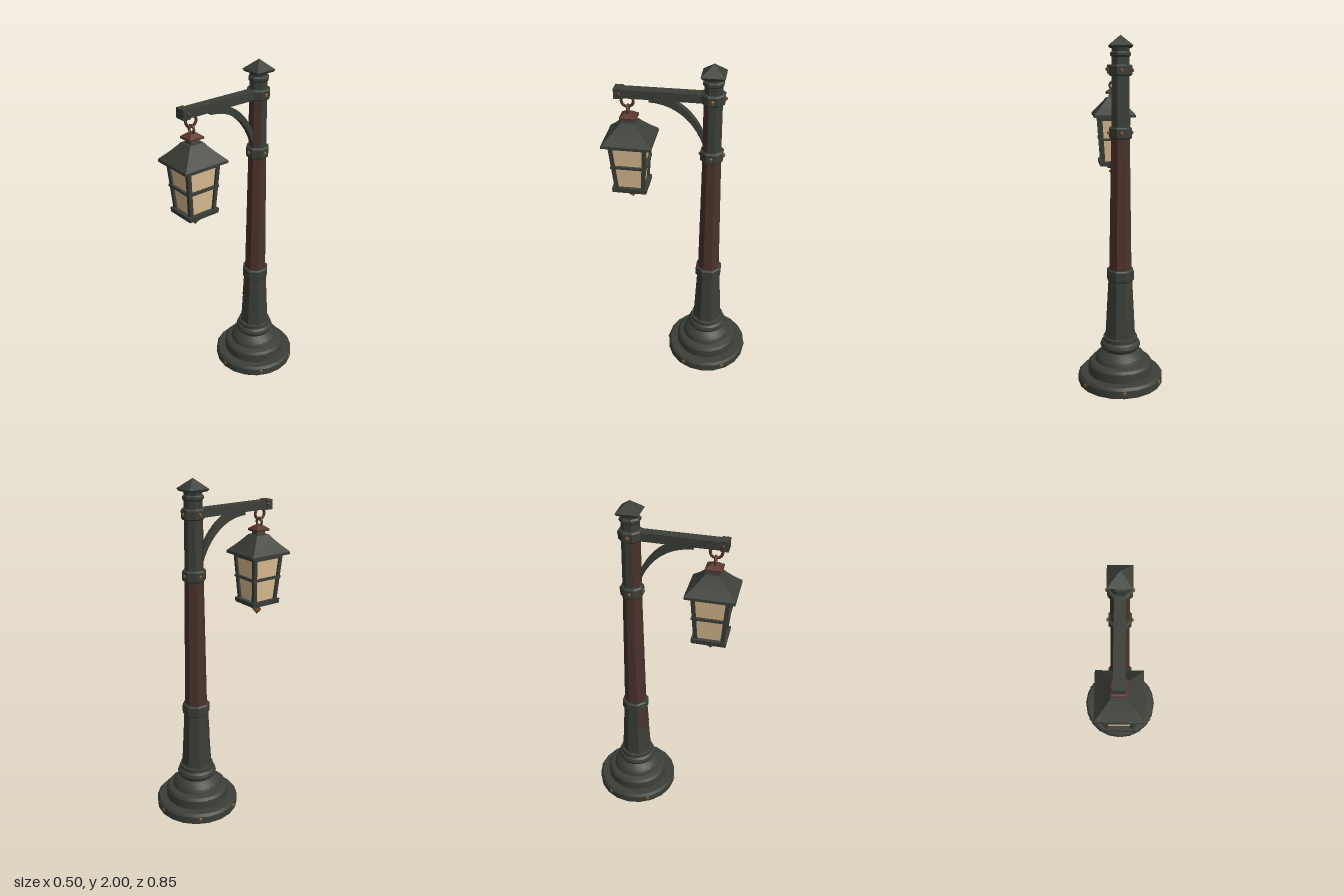
import * as THREE from 'three';
import { toCreasedNormals } from 'three/addons/utils/BufferGeometryUtils.js';

const mat = (name, color) => new THREE.MeshStandardMaterial({ name, color });

export function createModel() {
  const iron = mat('dark iron', 0x3b3f37);
  iron.side = THREE.DoubleSide;
  const paint = mat('worn brown paint', 0x4a322b);
  const rust = mat('rusty iron', 0x56342a);
  const brass = mat('old brass', 0x765229);
  const glass = mat('warm glass', 0xdcbd92);

  const model = new THREE.Group();
  const post = new THREE.Group();
  post.name = 'post';
  post.position.z = -0.17;
  const lantern = new THREE.Group();
  lantern.name = 'lantern';
  lantern.position.z = 0.283;
  const arm = new THREE.Group();
  arm.name = 'arm';
  model.add(post, arm, lantern);

  const add = (parent, name, geo, material, x = 0, y = 0, z = 0) => {
    const mesh = new THREE.Mesh(toCreasedNormals(geo, 0.5), material);
    mesh.name = name;
    mesh.position.set(x, y, z);
    parent.add(mesh);
    return mesh;
  };
  const lathe = (pts, sides) => new THREE.LatheGeometry(pts.map(p => new THREE.Vector2(p[0], p[1])), sides);
  // Tapered eight-sided tube with flats on the axes; r is the distance to a flat
  const octagon = (r0, r1, y0, y1, start = 0, faces = 8, open = false) => {
    const k = 1 / Math.cos(Math.PI / 8);
    return new THREE.CylinderGeometry(r1 * k, r0 * k, y1 - y0, faces, 1, open,
      Math.PI / 8 + start * Math.PI / 4, faces * Math.PI / 4).translate(0, (y0 + y1) / 2, 0);
  };
  // Tapered rectangular block, given half widths at the bottom and the top
  const block = (h0, h1, y0, y1, depth = 1.1) =>
    new THREE.CylinderGeometry(h1 * Math.SQRT2, h0 * Math.SQRT2, y1 - y0, 4)
      .rotateY(Math.PI / 4).scale(1, 1, depth).translate(0, (y0 + y1) / 2, 0);
  const bolt = (parent, x, y, z, r = 0.011, m = brass) =>
    add(parent, 'bolt', new THREE.SphereGeometry(r, 8, 6), m, x, y, z);

  // Hollow stepped base
  add(post, 'base', lathe([
    [0.225, 0.045], [0.232, 0], [0.25, 0], [0.25, 0.045], [0.238, 0.06], [0.192, 0.062],
    [0.19, 0.115], [0.178, 0.13], [0.15, 0.138], [0.142, 0.165], [0.122, 0.185], [0.1, 0.2],
    [0.112, 0.212], [0.118, 0.23], [0.112, 0.248], [0.1, 0.258], [0.1, 0.28], [0.08, 0.285],
  ], 20), iron);
  for (let i = 0; i < 6; i++) {
    const a = i * Math.PI / 3;
    bolt(post, Math.sin(a) * 0.243, 0.03, Math.cos(a) * 0.243, 0.014);
  }

  // Shaft sections
  add(post, 'lowerShaft', octagon(0.085, 0.066, 0.27, 0.64), iron);
  add(post, 'middleShaft', octagon(0.062, 0.05, 0.68, 1.46), paint);
  add(post, 'upperShaft', octagon(0.049, 0.047, 1.5, 1.9), iron);
  add(post, 'lowerWornPatch', octagon(0.0755, 0.068, 0.49, 0.63, -2, 2, true), paint);
  add(post, 'upperWornPatch', octagon(0.0505, 0.0495, 1.52, 1.78, -2, 3, true), paint);

  // Collars with bevelled edges
  const collar = (r, y0, y1) => {
    add(post, 'collar', octagon(r, r, y0 + 0.008, y1 - 0.008), iron);
    add(post, 'collarBevel', octagon(r - 0.007, r, y0, y0 + 0.008), iron);
    add(post, 'collarBevel', octagon(r, r - 0.007, y1 - 0.008, y1), iron);
  };
  collar(0.075, 0.625, 0.695);
  collar(0.062, 1.445, 1.51);
  collar(0.062, 1.785, 1.845);
  collar(0.054, 1.885, 1.915);
  for (const y of [1.478, 1.815]) {
    for (const s of [-1, 1]) {
      bolt(post, s * 0.063, y, 0);
      bolt(post, 0, y, s * 0.063);
    }
  }

  // Square cap
  add(post, 'capNeck', octagon(0.044, 0.05, 1.91, 1.94), iron);
  add(post, 'capRim', block(0.055, 0.063, 1.932, 1.945, 1), iron);
  add(post, 'capPyramid', block(0.063, 0.0005, 1.945, 2, 1), iron);

  // Arm and curved brace
  add(arm, 'beam', new THREE.BoxGeometry(0.058, 0.048, 0.485), iron, 0, 1.815, 0.1125);
  add(arm, 'beamEnd', new THREE.BoxGeometry(0.064, 0.056, 0.045), iron, 0, 1.815, 0.332);
  for (const s of [-1, 1]) bolt(arm, s * 0.034, 1.815, 0.325, 0.011, rust);
  const brace = new THREE.Shape();
  brace.moveTo(0.17, 1.795);
  brace.lineTo(0.17, 1.772);
  brace.bezierCurveTo(0.04, 1.77, -0.07, 1.69, -0.125, 1.53);
  brace.lineTo(-0.125, 1.6);
  brace.bezierCurveTo(-0.075, 1.71, -0.01, 1.765, 0.06, 1.795);
  add(arm, 'brace', new THREE.ExtrudeGeometry(brace, { depth: 0.034, bevelEnabled: false, curveSegments: 10 })
    .translate(0, 0, -0.017).rotateY(-Math.PI / 2), iron);

  // Hanging links
  add(lantern, 'upperLink', new THREE.TorusGeometry(0.033, 0.008, 8, 16).rotateY(Math.PI / 2), rust, 0, 1.765, 0.005);
  add(lantern, 'lowerLink', new THREE.TorusGeometry(0.022, 0.007, 8, 16), rust, 0, 1.718, 0.003);

  // Roof
  add(lantern, 'eave', block(0.125, 0.125, 1.533, 1.548), iron);
  add(lantern, 'roofLower', block(0.125, 0.085, 1.548, 1.59), iron);
  add(lantern, 'roofUpper', block(0.085, 0.05, 1.59, 1.632), iron);
  add(lantern, 'roofCap', block(0.052, 0.04, 1.63, 1.646), iron);
  add(lantern, 'roofNeck', block(0.028, 0.022, 1.645, 1.672), iron);
  add(lantern, 'roofKnob', block(0.042, 0.042, 1.668, 1.68), rust);
  add(lantern, 'roofKnobTop', block(0.042, 0.014, 1.68, 1.702), rust);

  // Glass body and frame
  add(lantern, 'glassBody', block(0.066, 0.086, 1.255, 1.525), glass);
  add(lantern, 'topRail', block(0.094, 0.096, 1.512, 1.535), iron);
  add(lantern, 'bottomRail', block(0.088, 0.09, 1.235, 1.262), iron);
  const rail = (y, hx, hz, t) => {
    for (const s of [-1, 1]) {
      add(lantern, 'middleRail', new THREE.BoxGeometry(2 * hx, t, 0.016), iron, 0, y, s * (hz - 0.008));
      add(lantern, 'middleRail', new THREE.BoxGeometry(0.016, t, 2 * hz), iron, s * (hx - 0.008), y, 0);
    }
  };
  rail(1.397, 0.092, 0.101, 0.014);
  const up = new THREE.Vector3(0, 1, 0);
  for (const sx of [-1, 1]) {
    for (const sz of [-1, 1]) {
      const a = new THREE.Vector3(sx * 0.067, 1.25, sz * 0.075);
      const b = new THREE.Vector3(sx * 0.086, 1.525, sz * 0.095);
      const dir = b.clone().sub(a);
      const stile = add(lantern, 'cornerPost', new THREE.BoxGeometry(0.022, dir.length(), 0.022), iron);
      stile.position.copy(a).add(b).multiplyScalar(0.5);
      stile.quaternion.setFromUnitVectors(up, dir.normalize());
    }
  }

  // Bottom plate and drop finial
  add(lantern, 'bottomPlate', block(0.068, 0.07, 1.229, 1.237), paint);
  add(lantern, 'finialPlate', block(0.038, 0.044, 1.215, 1.231), rust);
  add(lantern, 'finialNeck', new THREE.CylinderGeometry(0.02, 0.016, 0.02, 8), rust, 0, 1.206, 0);
  add(lantern, 'finial', lathe([[0, 1.158], [0.012, 1.172], [0.027, 1.186], [0.026, 1.194], [0, 1.2]], 8), brass);

  return model;
}
